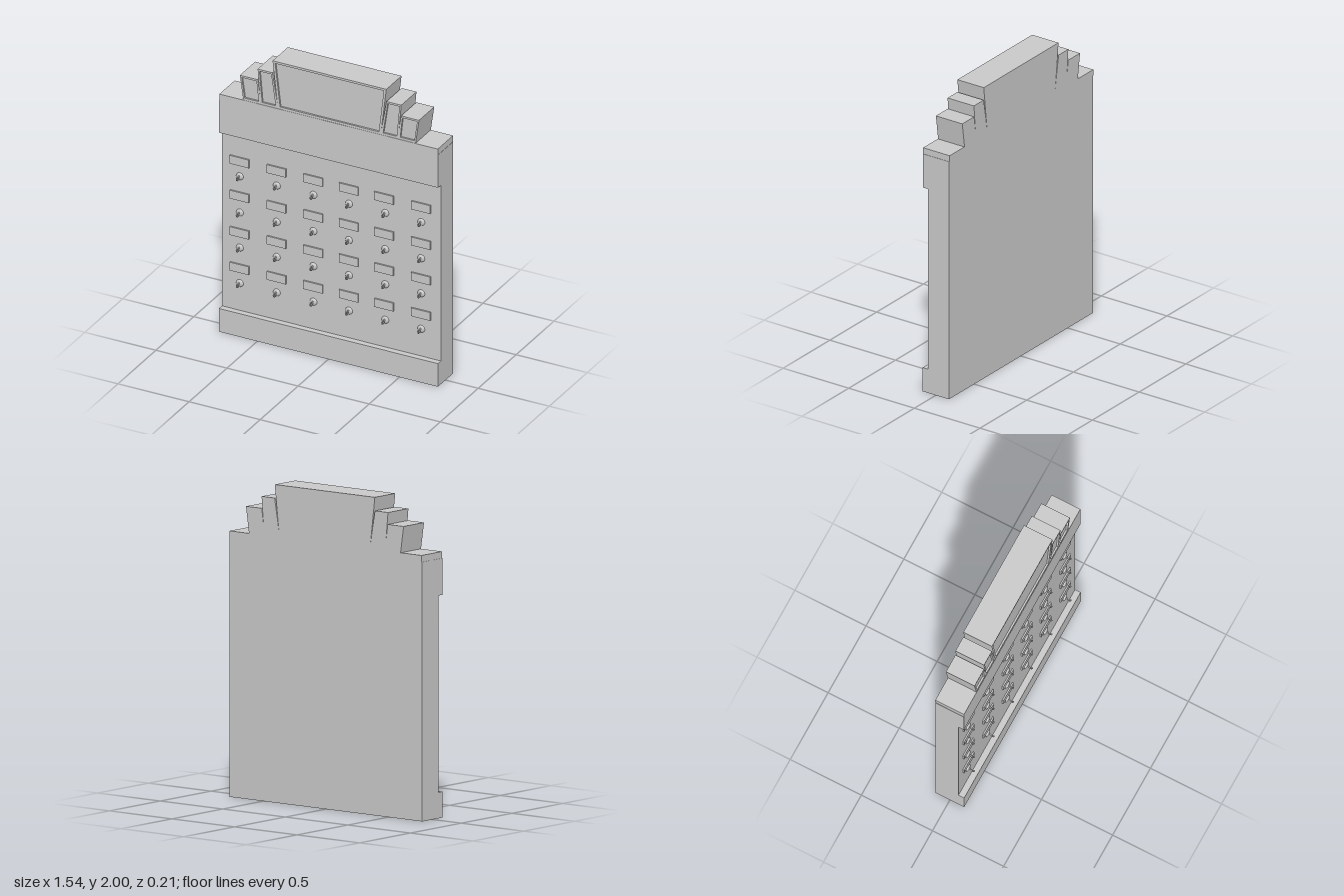
import * as THREE from 'three';

const material = new THREE.MeshStandardMaterial({ color: 0xcccccc, side: THREE.DoubleSide });

function add(parent, geometry, name, x = 0, y = 0, z = 0) {
  const mesh = new THREE.Mesh(geometry, material);
  mesh.name = name;
  mesh.position.set(x, y, z);
  parent.add(mesh);
  return mesh;
}

const toPoints = (corners) => corners.map(([x, y]) => new THREE.Vector2(x, y));

function extrude(shape, depth) {
  return new THREE.ExtrudeGeometry(shape, { depth, bevelEnabled: false });
}

// Slanted block with a shallow framed recess in its front face
function crownBlock(parent, name, outer, inner) {
  const group = new THREE.Group();
  group.name = name;
  const back = -0.105, front = 0.096, recess = 0.012;
  add(group, extrude(new THREE.Shape(toPoints(outer)), front - recess - back), name + 'Core', 0, 0, back);
  const rim = new THREE.Shape(toPoints(outer));
  rim.holes.push(new THREE.Path(toPoints(inner)));
  add(group, extrude(rim, recess), name + 'Rim', 0, 0, front - recess);
  parent.add(group);
}

export function createModel() {
  const model = new THREE.Group();
  model.name = 'keyBoard';

  // Board: side profile (z, y) with projecting bands at the foot and head
  const profile = new THREE.Shape(toPoints([
    [-0.1, 0], [0.1, 0], [0.1, 0.163], [0.06, 0.163],
    [0.06, 1.4], [0.098, 1.4], [0.098, 1.63], [-0.1, 1.63],
  ]));
  const board = extrude(profile, 1.54);
  board.rotateY(-Math.PI / 2);
  add(model, board, 'board', 0.77, 0, 0);
  add(model, new THREE.BoxGeometry(1.536, 0.042, 0.202), 'cap', 0, 1.651, -0.003);

  // Stepped crown, mirrored about its own middle
  const crown = new THREE.Group();
  crown.name = 'crown';
  crown.position.x = 0.005;
  model.add(crown);
  const base = 1.66;
  crownBlock(crown, 'crownCentre',
    [[-0.36, base], [0.36, base], [0.4, 2], [-0.4, 2]],
    [[-0.347, 1.688], [0.347, 1.688], [0.382, 1.985], [-0.382, 1.985]]);
  for (const [side, s] of [['left', 1], ['right', -1]]) {
    const flip = (corners) => corners.map(([x, y]) => [x * s, y]);
    crownBlock(crown, side + 'CrownStep',
      flip([[0.358, base], [0.482, base], [0.505, 1.915], [0.401, 1.915]]),
      flip([[0.378, 1.688], [0.473, 1.688], [0.492, 1.902], [0.41, 1.902]]));
    crownBlock(crown, side + 'CrownEnd',
      flip([[0.478, base], [0.604, base], [0.63, 1.84], [0.504, 1.84]]),
      flip([[0.498, 1.688], [0.597, 1.688], [0.617, 1.827], [0.513, 1.827]]));
  }

  // Label plates and hooks in a grid
  const plate = new THREE.BoxGeometry(0.134, 0.058, 0.014);
  const rose = new THREE.LatheGeometry(toPoints([
    [0.025, 0], [0.024, 0.004], [0.018, 0.008], [0.009, 0.011], [0, 0.012],
  ]), 20);
  rose.rotateX(Math.PI / 2);
  const curve = new THREE.CatmullRomCurve3([
    [0.005, 0.007], [0.016, 0.002], [0.022, -0.009], [0.03, -0.015], [0.039, -0.011], [0.043, 0.001],
  ].map(([z, y]) => new THREE.Vector3(0, y, z)));
  const arm = new THREE.TubeGeometry(curve, 16, 0.005, 8);
  const tip = new THREE.SphereGeometry(0.0055, 10, 8);

  const columns = [-0.644, -0.384, -0.126, 0.124, 0.379, 0.632];
  const rows = [[1.213, 1.107], [0.96, 0.852], [0.711, 0.605], [0.461, 0.355]];
  rows.forEach(([plateY, hookY], r) => columns.forEach((x, c) => {
    const dx = c === 4 ? -0.006 : 0;
    const dy = r === 1 && c === 0 ? 0.008 : 0;
    add(model, plate, 'labelPlate', x + dx, plateY + dy, 0.063);
    const hook = new THREE.Group();
    hook.name = 'hook';
    hook.position.set(x, hookY, 0.06);
    add(hook, rose, 'hookRose');
    add(hook, arm, 'hookArm');
    add(hook, tip, 'hookTip', 0, 0.001, 0.043);
    model.add(hook);
  }));

  return model;
}
